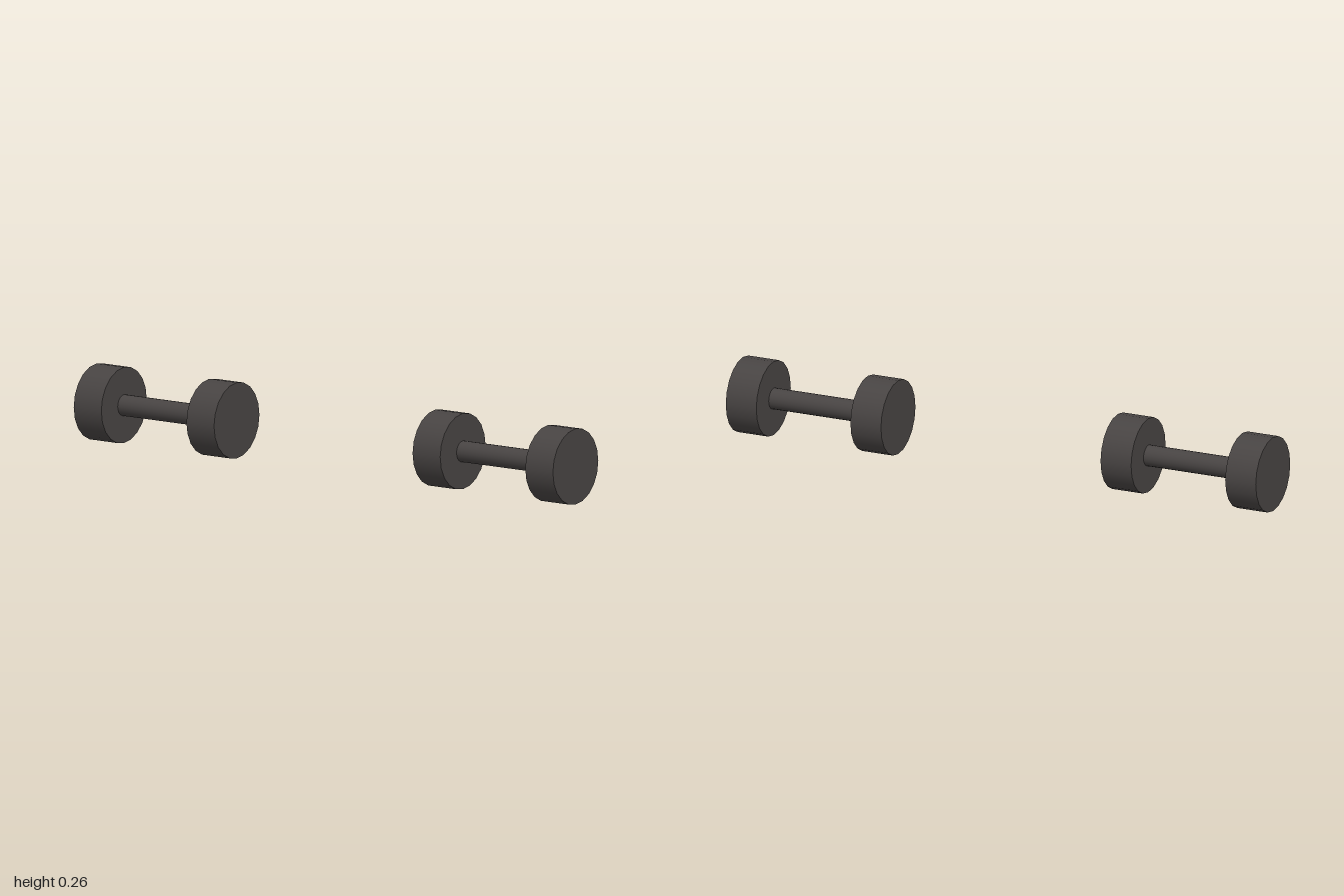
import * as THREE from 'three';

const RADIUS = 0.1325;

export function createModel() {
  const model = new THREE.Group();
  model.name = 'dumbbellPair';
  const iron = new THREE.MeshStandardMaterial({ color: 0x484443 });
  iron.name = 'dark iron';

  // Cylinders lying along z
  const weightGeometry = new THREE.CylinderGeometry(RADIUS, RADIUS, 0.117, 20).rotateX(Math.PI / 2);
  const handleGeometry = new THREE.CylinderGeometry(0.037, 0.037, 0.42, 20, 1, true).rotateX(Math.PI / 2);

  function addPart(parent, geometry, name, z) {
    const mesh = new THREE.Mesh(geometry, iron);
    mesh.name = name;
    mesh.position.z = z;
    parent.add(mesh);
  }

  // Two parallel dumbbells, turned slightly and resting on the floor
  for (const [name, side] of [['frontDumbbell', 1], ['backDumbbell', -1]]) {
    const dumbbell = new THREE.Group();
    dumbbell.name = name;
    addPart(dumbbell, handleGeometry, 'handle', 0);
    addPart(dumbbell, weightGeometry, 'frontWeight', 0.239);
    addPart(dumbbell, weightGeometry, 'backWeight', -0.239);
    dumbbell.position.set(side * 0.246, RADIUS, side * 0.675);
    dumbbell.rotation.y = THREE.MathUtils.degToRad(20);
    model.add(dumbbell);
  }
  return model;
}
